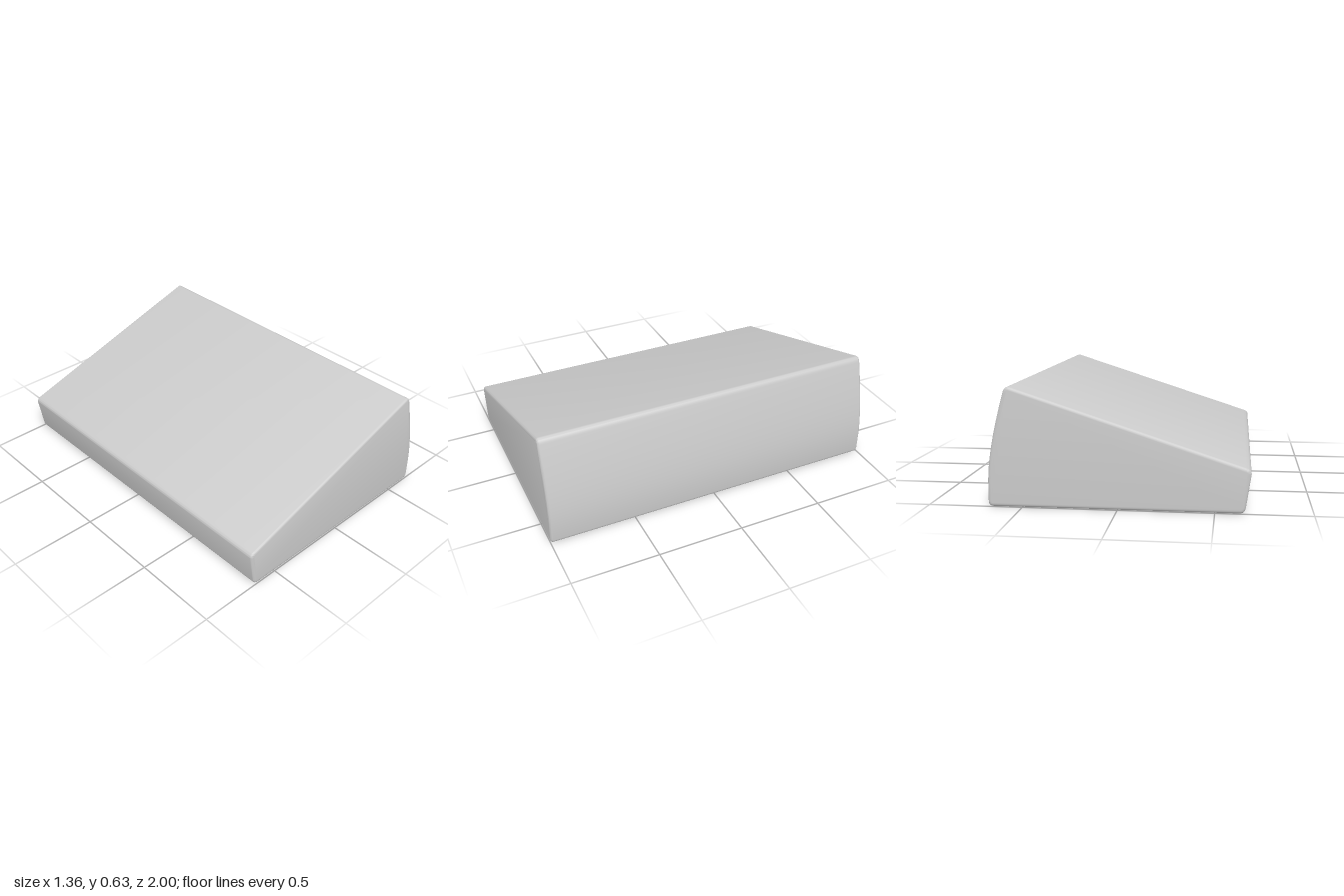
import * as THREE from 'three';
import { toCreasedNormals } from 'three/addons/utils/BufferGeometryUtils.js';

export function createModel() {
  const group = new THREE.Group();
  group.name = 'wedgeBlock';

  // Side profile: flat base, bulging tall end, sloped top, short leaning end
  const profile = new THREE.Shape();
  profile.moveTo(-0.625, 0);
  profile.lineTo(0.655, 0);
  profile.quadraticCurveTo(0.682, 0, 0.682, 0.03);
  profile.lineTo(0.682, 0.13);
  profile.quadraticCurveTo(0.68, 0.3, 0.593, 0.602);
  profile.quadraticCurveTo(0.583, 0.639, 0.55, 0.627);
  profile.lineTo(-0.655, 0.237);
  profile.quadraticCurveTo(-0.687, 0.227, -0.682, 0.2);
  profile.lineTo(-0.657, 0.03);
  profile.quadraticCurveTo(-0.653, 0, -0.625, 0);

  // Extruded along z, with softened edges kept inside the profile
  const bevelSize = 0.018, bevelThickness = 0.014;
  const depth = 2 - 2 * bevelThickness;
  const geometry = new THREE.ExtrudeGeometry(profile, {
    depth, curveSegments: 8,
    bevelEnabled: true, bevelSegments: 4, bevelSize, bevelThickness, bevelOffset: -bevelSize,
  });
  geometry.translate(0, 0, -depth / 2);

  const wedge = new THREE.Mesh(
    toCreasedNormals(geometry, 0.6),
    new THREE.MeshStandardMaterial({ color: 0xcccccc }),
  );
  wedge.name = 'wedge';
  group.add(wedge);
  return group;
}
